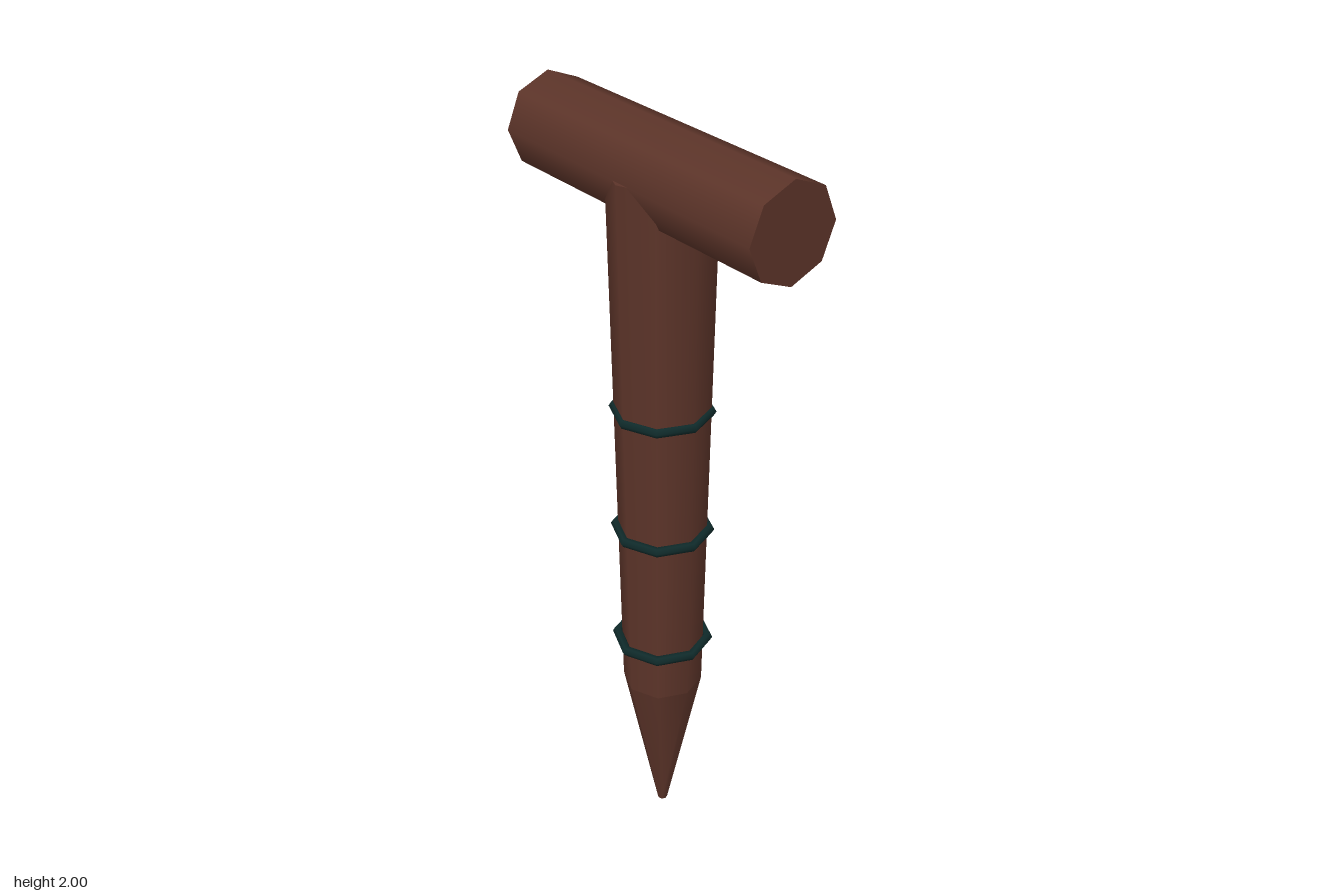
import * as THREE from 'three';

const SIDES = 8;

export function createModel() {
  const group = new THREE.Group();
  const wood = new THREE.MeshStandardMaterial({ name: 'brown wood', color: 0x5c3429 });
  const cord = new THREE.MeshStandardMaterial({ name: 'dark teal cord', color: 0x0f2a2a });

  const add = (name, geometry, material, y) => {
    const mesh = new THREE.Mesh(geometry, material);
    mesh.name = name;
    mesh.position.y = y;
    group.add(mesh);
    return mesh;
  };

  // Crossbar handle, a corner of the octagon pointing up
  const handle = new THREE.CylinderGeometry(0.122, 0.122, 0.876, SIDES);
  handle.rotateZ(Math.PI / 2);
  add('handle', handle, wood, 1.878);

  // Tapered shaft reaching the middle of the handle
  add('shaft', new THREE.CylinderGeometry(0.133, 0.105, 1.44, SIDES), wood, 1.16);

  // Pointed end with a small blunt tip
  add('point', new THREE.CylinderGeometry(0.105, 0.013, 0.44, SIDES), wood, 0.22);

  // Thin cord rings around the shaft
  [0.577, 0.921, 1.266].forEach((y, i) => {
    const ring = new THREE.TorusGeometry(0.12, 0.013, 6, SIDES);
    ring.rotateX(Math.PI / 2);
    add('ring' + (i + 1), ring, cord, y);
  });

  return group;
}
